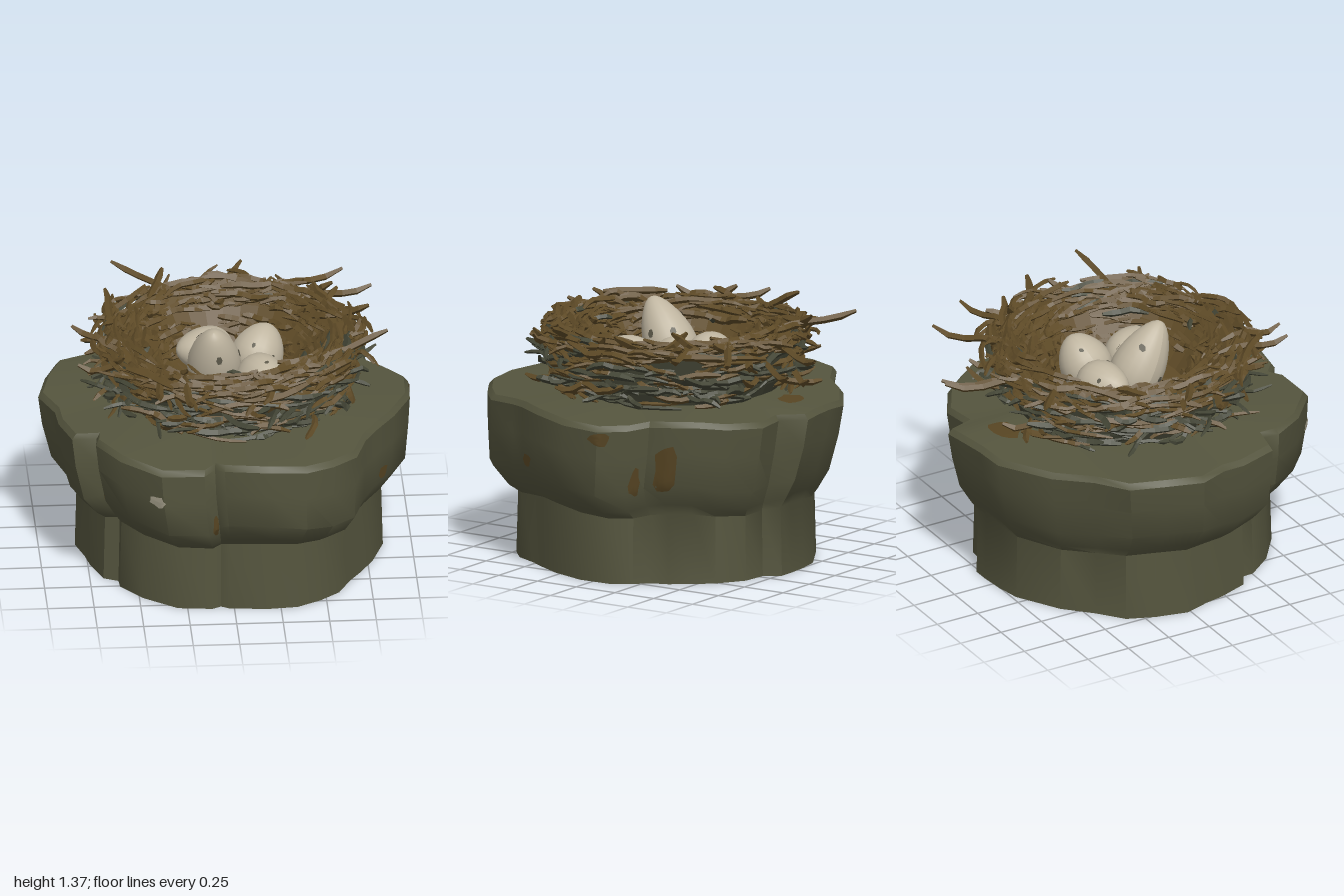
import * as THREE from 'three';
import { mergeGeometries, mergeVertices, toCreasedNormals } from 'three/addons/utils/BufferGeometryUtils.js';

const mat = (name, color, extra = {}) => Object.assign(new THREE.MeshStandardMaterial({ color, ...extra }), { name });

// small seeded random
let seed = 7;
const rnd = (a = 0, b = 1) => {
  seed = (seed * 16807) % 2147483647;
  return a + (b - a) * (seed / 2147483647);
};
const lerp = THREE.MathUtils.lerp;

// lobed outline of the stone (x, z), running back, +x, front, -x
const OUTLINE = [
  [-0.10, -0.90], [0.06, -0.93], [0.17, -0.94], [0.23, -0.79], [0.41, -0.81], [0.59, -0.70], [0.68, -0.58],
  [0.77, -0.45], [0.79, -0.33], [0.89, -0.26], [0.995, -0.13], [0.99, 0.09], [0.89, 0.33], [0.79, 0.49],
  [0.72, 0.60], [0.66, 0.78], [0.53, 0.89], [0.38, 0.98], [0.19, 0.99], [-0.06, 0.95], [-0.11, 0.90],
  [-0.17, 0.96], [-0.40, 0.96], [-0.61, 0.78], [-0.73, 0.59], [-0.72, 0.50], [-0.85, 0.48],
  [-0.91, 0.27], [-0.92, 0.14], [-1.0, -0.03], [-0.95, -0.24], [-0.88, -0.42], [-0.69, -0.53], [-0.53, -0.70], [-0.26, -0.88],
];
const N = OUTLINE.length;
// rounder outline for the foot: each corner moved to the mean radius of its neighbours
const SMOOTH = OUTLINE.map(([x, z], i) => {
  let mean = 0;
  for (let k = -2; k <= 2; k++) mean += Math.hypot(...OUTLINE[(i + k + N) % N]) / 5;
  const f = mean / Math.hypot(x, z);
  return [x * f, z * f];
});
// levels of the stone: height, scale, x shift, z shift, height wobble, roundness
const LEVELS = [
  [0, 0, 0, 0, 0, 0], [0, 0.84, 0.025, 0.005, 0, 0.4], [0.37, 0.83, 0.025, 0.005, 0.015, 0.4],
  [0.42, 0.88, 0.025, 0.02, 0.025, 0.25], [0.53, 0.955, 0.02, 0.03, 0.03, 0.1], [0.72, 0.985, 0.005, 0.012, 0.02, 0],
  [0.875, 1, 0, 0, 0.012, 0], [0.905, 0.975, 0, 0, 0.012, 0], [0.935, 0.62, 0, 0, 0.004, 0], [0.935, 0, 0, 0, 0, 0],
];

function stoneCorner(u, v) {
  const i = ((u % N) + N) % N, [y, s, dx, dz, wobble, round] = LEVELS[v];
  const x = lerp(OUTLINE[i][0], SMOOTH[i][0], round), z = lerp(OUTLINE[i][1], SMOOTH[i][1], round);
  return new THREE.Vector3(x * s + dx, y + wobble * Math.sin(i * 1.077 + 0.6), z * s + dz);
}
// point on the stone at column u and level v, fractions allowed
function stonePoint(u, v) {
  const i = Math.floor(u), j = Math.min(Math.floor(v), LEVELS.length - 2);
  const low = stoneCorner(i, j).lerp(stoneCorner(i + 1, j), u - i);
  const high = stoneCorner(i, j + 1).lerp(stoneCorner(i + 1, j + 1), u - i);
  return low.lerp(high, v - j);
}

function stoneGeometry() {
  const pos = [], index = [], V = LEVELS.length;
  for (let v = 0; v < V; v++) for (let u = 0; u < N; u++) pos.push(...stoneCorner(u, v).toArray());
  for (let v = 0; v < V - 1; v++) for (let u = 0; u < N; u++) {
    const a = v * N + u, b = v * N + (u + 1) % N, c = a + N, d = b + N;
    if (v < V - 2) index.push(a, c, d);
    else index.push(a, c, b);
    if (v > 0 && v < V - 2) index.push(a, d, b);
  }
  const g = new THREE.BufferGeometry();
  g.setAttribute('position', new THREE.Float32BufferAttribute(pos, 3));
  g.setIndex(index);
  return toCreasedNormals(mergeVertices(g), 0.65);
}

// ragged stain lying just above the stone
function patchGeometry(u, v, du, dv) {
  const pos = [], index = [], rings = 4, seg = 12;
  const ragged = Array.from({ length: seg }, () => rnd(0.7, 1.1));
  for (let r = 0; r <= rings; r++) for (let k = 0; k < seg; k++) {
    const a = k / seg * Math.PI * 2, f = r / rings * ragged[k];
    const p = stonePoint(u + Math.cos(a) * du * f, v + Math.sin(a) * dv * f);
    pos.push(p.x * 1.007, p.y + 0.004, p.z * 1.007);
    if (r < rings) {
      const i = r * seg + k, j = r * seg + (k + 1) % seg;
      index.push(i, i + seg, j, j, i + seg, j + seg);
    }
  }
  const g = new THREE.BufferGeometry();
  g.setAttribute('position', new THREE.Float32BufferAttribute(pos, 3));
  g.setIndex(index);
  g.computeVertexNormals();
  return g;
}

// four-sided twig along a few points, narrower at both ends
function twigGeometry(points, width) {
  const curve = new THREE.CatmullRomCurve3(points), seg = 5;
  const g = new THREE.TubeGeometry(curve, seg, width, 4, false);
  const p = g.attributes.position, v = new THREE.Vector3();
  for (let i = 0; i <= seg; i++) {
    const c = curve.getPointAt(i / seg), f = i === 0 || i === seg ? 0.5 : 1;
    for (let k = 0; k < 5; k++) {
      v.fromBufferAttribute(p, i * 5 + k).sub(c).multiplyScalar(f).add(c);
      p.setXYZ(i * 5 + k, v.x, v.y, v.z);
    }
  }
  return g;
}
const around = (a, r, y) => new THREE.Vector3(0.02 + Math.sin(a) * r, y, 0.03 + Math.cos(a) * r);

// twig bending round the nest from one radius and height to another
function wovenTwig(a, span, r0, r1, y0, y1, jitter = 0.02) {
  const pts = [0, 0.33, 0.67, 1].map((t) => around(a + span * t,
    lerp(r0, r1, t) + rnd(-jitter, jitter), Math.max(0.94, lerp(y0, y1, t) + rnd(-jitter, jitter))));
  return twigGeometry(pts, rnd(0.01, 0.021));
}

// egg along y, blunt end down
function eggGeometry(length, radius, taper) {
  const g = new THREE.SphereGeometry(1, 20, 14), p = g.attributes.position;
  for (let i = 0; i < p.count; i++) {
    const y = p.getY(i), f = radius * (1 - taper * y);
    p.setXYZ(i, p.getX(i) * f, y * length / 2, p.getZ(i) * f);
  }
  g.computeVertexNormals();
  return g;
}

export function createModel() {
  const model = new THREE.Group();
  const stoneMat = mat('mossy stone', 0x55553e);
  const stainMat = mat('ochre stain', 0x574523, { side: THREE.DoubleSide });
  const paleMat = mat('pale chip', 0xaaa48f, { side: THREE.DoubleSide });
  const brownMat = mat('brown twig', 0x5f4b27, { flatShading: true, side: THREE.DoubleSide });
  const greyMat = mat('grey green twig', 0x444636, { flatShading: true, side: THREE.DoubleSide });
  const eggMat = mat('egg shell', 0xbfb5a0);
  const spotMat = mat('egg spot', 0x5a5648, { side: THREE.DoubleSide });
  const add = (name, geometry, material, parent = model) => {
    const m = new THREE.Mesh(geometry, material);
    m.name = name;
    parent.add(m);
    return m;
  };

  // stone pedestal and its stains
  add('stonePedestal', stoneGeometry(), stoneMat);
  const stains = [[7.1, 4.5, 0.55, 0.9], [8.5, 4.2, 0.3, 0.5], [9.9, 5.7, 0.35, 0.25], [12.6, 4.25, 0.3, 0.2],
    [20.3, 4, 0.3, 0.5], [0.5, 7.6, 0.9, 0.22], [24.6, 3.9, 0.3, 0.25]];
  add('stoneStains', mergeGeometries(stains.map((s) => patchGeometry(...s))), stainMat);
  add('stoneChip', patchGeometry(22.15, 5, 0.22, 0.22), paleMat);

  // nest core: outer shell and inner bowl
  const nest = new THREE.Group();
  nest.name = 'nest';
  model.add(nest);
  const lathe = (pts) => new THREE.LatheGeometry(pts.map((p) => new THREE.Vector2(...p)), 32).translate(0.02, 0, 0.03);
  add('nestShell', lathe([[0.56, 0.92], [0.6, 1.0], [0.65, 1.2], [0.64, 1.24]]), greyMat, nest);
  add('nestBowl', lathe([[0.64, 1.24], [0.58, 1.25], [0.5, 1.19], [0.42, 1.08], [0.35, 0.99], [0, 0.97]]), brownMat, nest);

  // woven twigs
  const brown = [], grey = [];
  const angle = () => rnd(0, Math.PI * 2);
  const turn = (a, b) => rnd(a, b) * (rnd() < 0.5 ? -1 : 1);
  for (let i = 0; i < 320; i++) { // outer wall
    const y = rnd(0.95, 1.26), h = (y - 0.95) / 0.31, r = 0.6 + 0.08 * h + rnd(-0.02, 0.03);
    (rnd() < 0.8 - 0.6 * h ? grey : brown).push(
      wovenTwig(angle(), turn(0.2, 0.65), r, r + rnd(-0.04, 0.07), y, y + rnd(-0.06, 0.05)));
  }
  for (let i = 0; i < 250; i++) { // rim
    const r = rnd(0.48, 0.7), y = 1.272 - Math.abs(r - 0.62) * 0.4 + rnd(-0.025, 0.015);
    (rnd() < 0.09 ? grey : brown).push(
      wovenTwig(angle(), turn(0.2, 0.6), r, r + rnd(-0.09, 0.1), y, y + rnd(-0.025, 0.025)));
  }
  for (let i = 0; i < 160; i++) { // inner slope
    const r = rnd(0.36, 0.54), y = 0.995 + (r - 0.34) * 1.2;
    brown.push(wovenTwig(angle(), turn(0.2, 0.7), r, r + rnd(-0.02, 0.04), y, y + rnd(-0.02, 0.05)));
  }
  for (let i = 0; i < 120; i++) { // loose ends sticking out
    const y = rnd(0.98, 1.26), high = y > 1.16;
    (high || rnd() < 0.35 ? brown : grey).push(
      wovenTwig(angle(), turn(0.08, 0.35), 0.6, rnd(0.7, 0.82), y, y + (high ? rnd(-0.03, 0.07) : rnd(-0.04, 0.04)), 0.025));
  }
  const strays = [[0.15, 1.2, -0.97], [0.31, 1.13, -0.9], [0.36, 1.18, -0.7], [0.68, 1.25, -0.74], [0.82, 1.27, -0.49],
    [0.86, 1.36, 0.25], [0.78, 1.34, -0.1], [-0.56, 1.32, -0.76], [-0.62, 1.36, -0.35], [-0.82, 1.3, -0.03],
    [-0.8, 1.18, 0.2], [-0.23, 1.25, 0.88], [-0.4, 1.27, 0.83], [0.6, 1.36, -0.35], [-0.1, 1.02, -0.76], [0.5, 1.35, -0.38]];
  for (const [x, y, z] of strays) { // longest stray twigs
    const a = Math.atan2(x - 0.02, z - 0.03), r = Math.hypot(x - 0.02, z - 0.03), s = turn(0.15, 0.35);
    const pts = [around(a + s, 0.55, Math.min(y, 1.25)), around(a + s * 0.6, 0.66, Math.min(y, 1.25) + 0.02),
      around(a + s * 0.2, lerp(0.6, r, 0.7), y - 0.03), new THREE.Vector3(x, y, z)];
    brown.push(twigGeometry(pts, 0.02));
  }
  add('brownTwigs', mergeGeometries(brown), brownMat, nest);
  add('greyTwigs', mergeGeometries(grey), greyMat, nest);

  // eggs: centre, direction of the narrow end, length, radius, taper, speckle size
  const eggs = [
    [[-0.065, 1.16, 0.125], [-0.05, 1, 0.55], 0.47, 0.14, 0.3, 0.018],
    [[-0.1, 1.09, -0.13], [-1, 0.15, 0.3], 0.32, 0.125, 0.2, 0.011],
    [[0.19, 1.095, -0.09], [0.25, 0.55, -0.2], 0.31, 0.14, 0.2, 0.011],
    [[0.19, 1.08, 0.21], [0.25, 0.15, 0.7], 0.33, 0.125, 0.15, 0.011],
  ];
  const up = new THREE.Vector3(0, 1, 0), forward = new THREE.Vector3(0, 0, 1);
  eggs.forEach(([c, d, length, radius, taper, size], n) => {
    const egg = new THREE.Group();
    egg.name = 'egg' + (n + 1);
    egg.position.set(...c);
    egg.quaternion.setFromUnitVectors(up, new THREE.Vector3(...d).normalize());
    model.add(egg);
    add('shell', eggGeometry(length, radius, taper), eggMat, egg);
    for (let k = 0; k < 5; k++) { // dark speckles
      const a = k * 1.35 + n, h = [0.15, 0.5, -0.2, 0.35, 0][k], w = Math.sqrt(1 - h * h);
      const f = radius * (1 - taper * h) * w;
      const normal = new THREE.Vector3(Math.cos(a) * w / radius, h * 2 / length + 4 * taper, Math.sin(a) * w / radius).normalize();
      const spot = add('speckle', new THREE.CircleGeometry(size, 6), spotMat, egg);
      spot.position.set(Math.cos(a) * f, h * length / 2, Math.sin(a) * f).addScaledVector(normal, 0.004);
      spot.quaternion.setFromUnitVectors(forward, normal);
      spot.scale.y = 1.4;
    }
  });
  return model;
}
